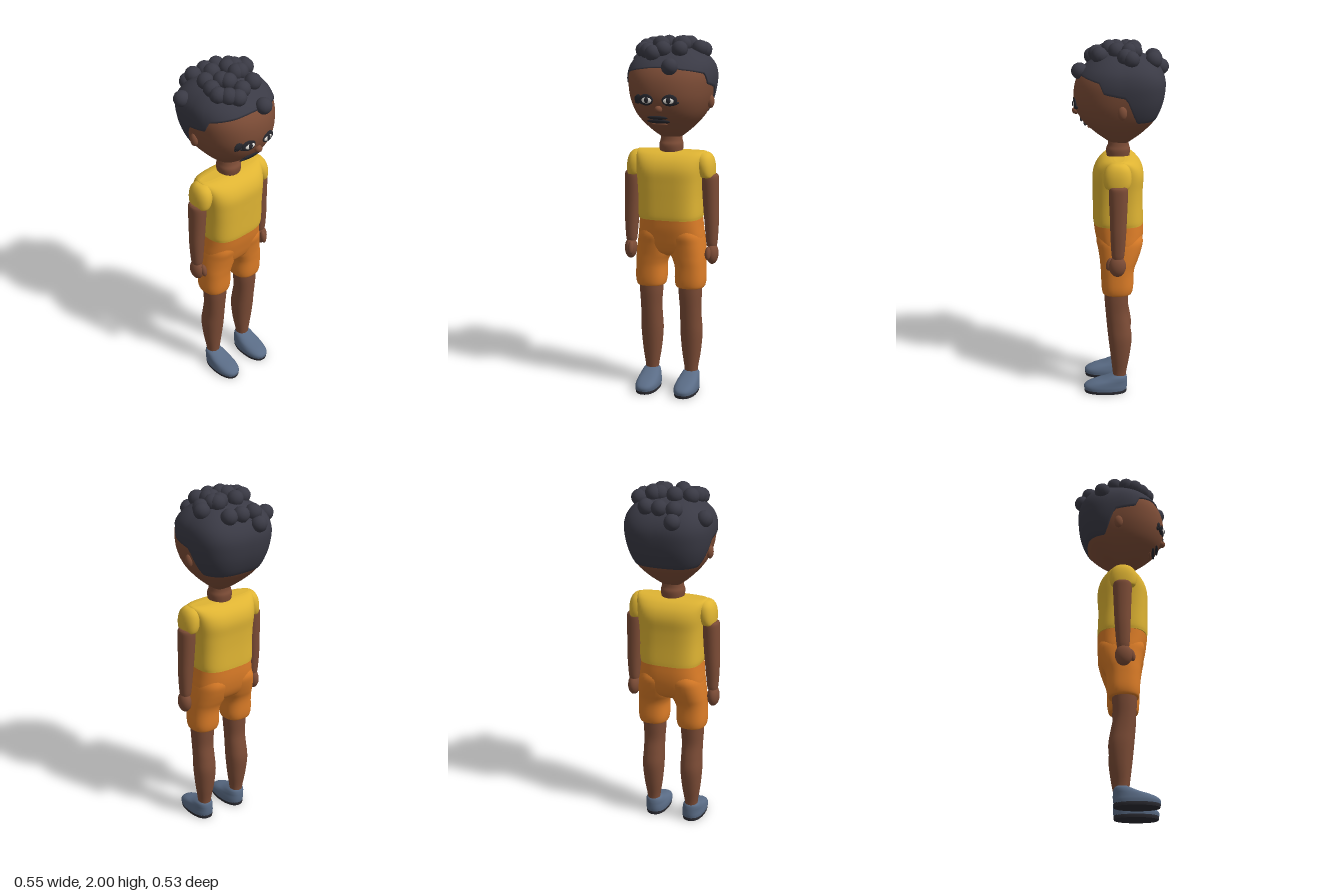
import * as THREE from 'three';

const mat = (name, color) => Object.assign(new THREE.MeshStandardMaterial({ color }), { name });

// Interpolates rows of numbers smoothly; t runs from 0 to rows.length - 1
function spline(rows) {
  const size = rows[0].length;
  const it = new THREE.CubicInterpolant(rows.map((_, i) => i), rows.flat(), size, new Float32Array(size));
  return (t) => Array.from(it.evaluate(t));
}

// Point on a rounded cross-section; front and back can differ in squareness
function ringPoint([y, cx, rx, zf, zb], a, pf, pb) {
  const s = Math.sin(a), c = Math.cos(a), p = c > 0 ? pf : pb;
  const bend = (v) => Math.sign(v) * Math.abs(v) ** (2 / p);
  return [cx + rx * bend(s), y, (zf + zb) / 2 + ((zf - zb) / 2) * bend(c)];
}

// Closed skin over a grid of points: point(row, angle)
function skin(point, rows, cols, capped) {
  const pos = [], idx = [];
  for (let i = 0; i <= rows; i++)
    for (let j = 0; j < cols; j++) pos.push(...point(i / rows, (j / cols) * Math.PI * 2));
  for (let i = 0; i < rows; i++)
    for (let j = 0; j < cols; j++) {
      const k = (j + 1) % cols, a = i * cols, b = a + cols;
      idx.push(a + j, a + k, b + k, a + j, b + k, b + j);
    }
  if (capped) [0, rows].forEach((r) => {
    const base = pos.length / 3, mid = [0, 0, 0];
    for (let j = 0; j < cols; j++) {
      const p = pos.slice((r * cols + j) * 3, (r * cols + j) * 3 + 3);
      p.forEach((v, n) => { mid[n] += v / cols; });
      pos.push(...p);
    }
    pos.push(...mid);
    for (let j = 0; j < cols; j++) {
      const k = (j + 1) % cols;
      idx.push(base + cols, base + (r ? j : k), base + (r ? k : j));
    }
  });
  const g = new THREE.BufferGeometry();
  g.setAttribute('position', new THREE.Float32BufferAttribute(pos, 3));
  g.setIndex(idx);
  g.computeVertexNormals();
  return g;
}

// Loft through rings of [y, centre x, half width, front z, back z]
function loft(rings, p = 2.2, cols = 32) {
  const at = spline(rings), n = rings.length - 1;
  return skin((t, a) => ringPoint(at(t * n), a, p, p), n * 4, cols, true);
}

// Head shape, shared by the head, hair and face details
const HEAD = [
  [1.435, 0, 0, 0.005, 0.005], [1.44, 0, 0.035, 0.035, -0.03], [1.47, 0, 0.08, 0.085, -0.075],
  [1.52, 0, 0.135, 0.15, -0.135], [1.58, 0, 0.183, 0.21, -0.19], [1.65, 0, 0.213, 0.243, -0.222],
  [1.72, 0, 0.228, 0.25, -0.238], [1.79, 0, 0.232, 0.237, -0.24], [1.85, 0, 0.215, 0.2, -0.215],
  [1.9, 0, 0.168, 0.14, -0.165], [1.93, 0, 0.1, 0.08, -0.1], [1.943, 0, 0, 0, 0],
];
const PF = 2.2, PB = 3, TOP = HEAD.length - 1;
const headAt = spline(HEAD);

function bisect(lo, hi, below) {
  for (let i = 0; i < 30; i++) {
    const m = (lo + hi) / 2;
    if (below(m)) lo = m; else hi = m;
  }
  return lo;
}
const headT = (y) => bisect(0, TOP, (t) => headAt(t)[0] < y);
function faceZ(x, y) {
  const [, , rx, zf, zb] = headAt(headT(y));
  return (zf + zb) / 2 + ((zf - zb) / 2) * (1 - Math.abs(x / rx) ** PF) ** (1 / PF);
}
function scalpY(x, z) {
  const t = bisect(7, TOP, (u) => {
    const [, , rx, zf, zb] = headAt(u), c = (zf + zb) / 2, p = z > c ? PF : PB;
    return Math.abs(x / rx) ** p + Math.abs((z - c) / ((zf - zb) / 2)) ** p < 1;
  });
  return headAt(t)[0];
}

// Hairline height from back (-1) to front (1)
const HAIRLINE = [[-1, 1.58], [-0.5, 1.58], [-0.38, 1.62], [-0.17, 1.72], [0.32, 1.745], [0.45, 1.8], [0.9, 1.825], [1, 1.835]];
function hairline(c) {
  let i = 0;
  while (i < HAIRLINE.length - 2 && c > HAIRLINE[i + 1][0]) i++;
  const [a, ya] = HAIRLINE[i], [b, yb] = HAIRLINE[i + 1];
  return ya + ((yb - ya) * (c - a)) / (b - a);
}
function hairPoint(t, a) {
  const c = Math.cos(a), p = c > 0 ? PF : PB;
  const start = headT(hairline(Math.sign(c) * Math.abs(c) ** (2 / p)));
  const r = headAt(start + (TOP - start) * Math.max(0, (t * 25 - 1) / 24));
  const q = ringPoint(r, a, PF, PB), grow = t === 0 ? 0.98 : 1.028;
  return [q[0] * grow, q[1] + 0.004, q[2] * grow];
}

export function createModel() {
  const model = new THREE.Group();
  const skinMat = mat('skin', 0x7c4c36), shirtMat = mat('shirt yellow', 0xdfb433);
  const shortsMat = mat('shorts orange', 0xdb7c27), hairMat = mat('hair', 0x3a3a45);
  const shoeMat = mat('shoe blue', 0x5a6c86), soleMat = mat('sole', 0x2c2c33);
  const darkMat = mat('face dark', 0x26262c), whiteMat = mat('eye white', 0xe8e4de);

  const add = (name, geo, m, parent = model) => {
    const mesh = new THREE.Mesh(geo, m);
    mesh.name = name;
    parent.add(mesh);
    return mesh;
  };
  const ball = (name, m, [x, y, z], [sx, sy, sz], parent = model) => {
    const mesh = add(name, new THREE.SphereGeometry(1, 20, 14), m, parent);
    mesh.position.set(x, y, z);
    mesh.scale.set(sx, sy, sz);
    return mesh;
  };

  // Head, neck and hair cap
  add('head', skin((t, a) => ringPoint(headAt(t * TOP), a, PF, PB), 48, 64), skinMat);
  add('neck', loft([[1.35, 0, 0.06, 0.065, -0.05], [1.38, 0, 0.064, 0.073, -0.055], [1.41, 0, 0.066, 0.075, -0.057], [1.435, 0, 0.06, 0.065, -0.05], [1.48, 0, 0.055, 0.06, -0.05]]), skinMat);
  add('hairCap', skin(hairPoint, 25, 128), hairMat);

  // Curls resting on the scalp, as [x, z]
  const curls = [
    [-0.08, -0.225], [-0.076, -0.183], [0.005, -0.185], [0.08, -0.18], [-0.217, -0.107], [-0.04, -0.075],
    [-0.117, -0.036], [0.05, -0.06], [0.075, -0.075], [0.09, -0.05], [0.165, -0.06], [0.15, -0.03], [0.05, 0.01],
    [0.07, 0.018], [-0.133, 0.03], [-0.058, 0.02], [-0.04, 0.055], [-0.135, 0.08], [-0.097, 0.12],
    [-0.06, 0.15], [-0.012, 0.125], [0.077, 0.108], [0.054, 0.215],
  ];
  const curlGeo = new THREE.SphereGeometry(0.045, 12, 9);
  curls.forEach(([x, z], i) => {
    const curl = add('curl', curlGeo, hairMat);
    curl.position.set(x, Math.min(1.955, scalpY(x, z) + 0.022), z);
    curl.rotation.set(i, i * 2, 0);
  });

  // Face: details lie on the curved front of the head
  const onFace = (name, m, x, y, w, h, lift = 0, tilt = 0) => {
    const b = ball(name, m, [x, y, faceZ(x, y) + lift], [w, h, 0.008]);
    b.rotation.set(1.68 > y ? (1.68 - y) * 3.5 : 0, x * 2.2, tilt);
  };
  [[-0.068, 1], [0.063, -1]].forEach(([x, s]) => {
    onFace('eyeRim', darkMat, x, 1.672, 0.042, 0.031, 0.001);
    onFace('eyeball', whiteMat, x + s * 0.004, 1.669, 0.03, 0.017, 0.005);
    onFace('iris', darkMat, x + s * 0.004, 1.67, 0.014, 0.016, 0.008);
    onFace('lowerLash', darkMat, x - s * 0.025, 1.654, 0.025, 0.009, 0.003, s * -0.3);
  });
  onFace('outerLash', darkMat, -0.118, 1.678, 0.026, 0.02, 0.001, 0.4);
  onFace('outerLash', darkMat, -0.122, 1.66, 0.02, 0.012, 0.001, 0.3);
  ball('nose', skinMat, [0, 1.622, 0.238], [0.021, 0.02, 0.022]);
  onFace('moustache', darkMat, -0.015, 1.574, 0.058, 0.011, 0.003);
  onFace('moustache', darkMat, -0.015, 1.552, 0.066, 0.012, 0.003);
  onFace('lowerLip', skinMat, -0.015, 1.534, 0.045, 0.01, 0.002);

  // Shirt body and hips
  add('shirt', loft([
    [1.0, 0, 0.173, 0.146, -0.13], [1.03, 0, 0.177, 0.149, -0.13], [1.12, 0, 0.177, 0.15, -0.127], [1.2, 0, 0.181, 0.151, -0.128],
    [1.27, 0, 0.188, 0.15, -0.132], [1.32, 0, 0.194, 0.132, -0.118], [1.355, 0, 0.2, 0.1, -0.088], [1.372, 0, 0.2, 0.065, -0.055], [1.377, 0, 0.19, 0.035, -0.03],
  ], 3.2, 48), shirtMat);
  add('shortsHips', loft([
    [0.785, 0, 0.1, 0.06, -0.06], [0.81, 0, 0.165, 0.1, -0.095], [0.85, 0, 0.184, 0.118, -0.116],
    [0.9, 0, 0.184, 0.13, -0.127], [0.95, 0, 0.178, 0.14, -0.131], [1.0, 0, 0.173, 0.146, -0.13],
  ], 2.8, 48), shortsMat);

  // Limbs, made for the left side and mirrored through their rings
  for (const s of [1, -1]) {
    const side = new THREE.Group();
    side.name = s > 0 ? 'leftLimbs' : 'rightLimbs';
    model.add(side);
    const limb = (name, rings, m, p) => add(name, loft(rings.map(([y, x, ...r]) => [y, x * s, ...r]), p), m, side);

    limb('sleeve', [
      [1.235, 0.212, 0.03, 0.06, -0.035], [1.24, 0.212, 0.037, 0.078, -0.052], [1.27, 0.207, 0.045, 0.088, -0.062], [1.31, 0.2, 0.05, 0.088, -0.062],
      [1.345, 0.193, 0.047, 0.075, -0.052], [1.368, 0.182, 0.038, 0.05, -0.03], [1.375, 0.17, 0.01, 0.02, -0.005],
    ], shirtMat);
    limb('arm', [
      [0.85, 0.236, 0.028, 0.042, -0.02], [0.88, 0.236, 0.032, 0.047, -0.025], [0.98, 0.234, 0.039, 0.052, -0.033], [1.08, 0.229, 0.043, 0.055, -0.038],
      [1.2, 0.225, 0.046, 0.06, -0.043], [1.24, 0.225, 0.044, 0.058, -0.042], [1.252, 0.224, 0.036, 0.05, -0.034],
    ], skinMat);
    ball('hand', skinMat, [s * 0.24, 0.805, 0.014], [0.034, 0.06, 0.047], side);
    const thumb = ball('thumb', skinMat, [s * 0.226, 0.812, 0.057], [0.017, 0.037, 0.019], side);
    thumb.rotation.x = -0.25;
    ball('ear', skinMat, [s * 0.217, 1.648, -0.013], [0.02, 0.037, 0.025], side);

    limb('shortsLeg', [
      [0.605, 0.115, 0.068, 0.085, -0.055], [0.612, 0.115, 0.08, 0.097, -0.067], [0.65, 0.115, 0.087, 0.103, -0.075], [0.72, 0.114, 0.086, 0.105, -0.077],
      [0.76, 0.108, 0.091, 0.108, -0.084], [0.8, 0.098, 0.099, 0.112, -0.1], [0.86, 0.09, 0.1, 0.121, -0.12], [0.91, 0.088, 0.092, 0.13, -0.128], [0.96, 0.085, 0.07, 0.12, -0.11],
    ], shortsMat, 2.4);
    limb('leg', [
      [0.09, 0.117, 0.036, 0.038, -0.033], [0.13, 0.117, 0.039, 0.042, -0.037], [0.22, 0.117, 0.053, 0.052, -0.054], [0.33, 0.117, 0.062, 0.065, -0.067],
      [0.41, 0.116, 0.06, 0.073, -0.057], [0.49, 0.116, 0.06, 0.08, -0.043], [0.57, 0.115, 0.065, 0.086, -0.046], [0.64, 0.115, 0.066, 0.086, -0.05],
    ], skinMat);
    limb('shoe', [
      [0.018, 0.114, 0.064, 0.205, -0.038], [0.035, 0.114, 0.065, 0.207, -0.041], [0.05, 0.114, 0.063, 0.195, -0.042], [0.066, 0.115, 0.059, 0.16, -0.042],
      [0.082, 0.116, 0.054, 0.105, -0.041], [0.1, 0.117, 0.046, 0.06, -0.037], [0.114, 0.117, 0.03, 0.03, -0.025],
    ], shoeMat, 2.3);
    limb('sole', [[0, 0.114, 0.061, 0.202, -0.037], [0.01, 0.114, 0.063, 0.205, -0.039], [0.02, 0.114, 0.063, 0.205, -0.039]], soleMat, 2.3);
  }
  return model;
}
